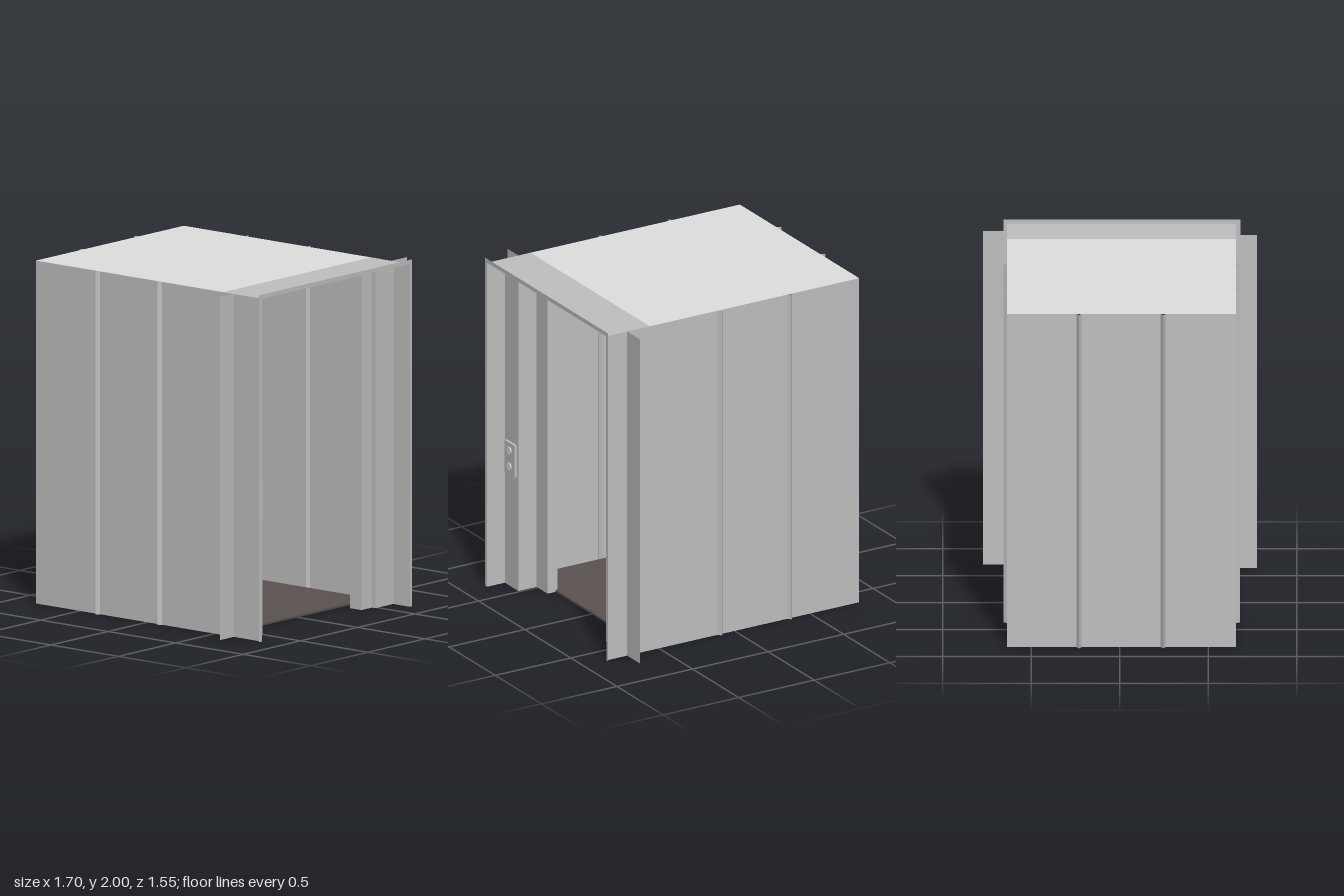
import * as THREE from 'three';

const mat = (name, color) => {
  const m = new THREE.MeshStandardMaterial({ color, side: THREE.DoubleSide });
  m.name = name;
  return m;
};

// Vertical folded sheet following a plan path of [x, z] points
function foldedSheet(path, y0, y1) {
  const pos = [];
  for (let i = 0; i < path.length - 1; i++) {
    const [ax, az] = path[i], [bx, bz] = path[i + 1];
    pos.push(ax, y0, az, bx, y0, bz, bx, y1, bz, ax, y0, az, bx, y1, bz, ax, y1, az);
  }
  const g = new THREE.BufferGeometry();
  g.setAttribute('position', new THREE.Float32BufferAttribute(pos, 3));
  g.computeVertexNormals();
  return g;
}

export function createModel() {
  const group = new THREE.Group();
  const steel = mat('steel grey', 0xc0c0c0);
  const light = mat('light grey', 0xe0e0e0);
  const dark = mat('dark floor', 0x5a5351);

  const add = (name, geometry, material, x = 0, y = 0, z = 0) => {
    const m = new THREE.Mesh(geometry, material);
    m.name = name;
    m.position.set(x, y, z);
    group.add(m);
    return m;
  };

  const H = 1.976, BACK = -0.825, FRONT = 0.848, SILL = 0.56;
  const ZL = 0.657, ZR = -0.636, RIB = 0.022, HALF = 0.015;

  // Side walls with V-shaped pressed ribs pointing outward
  for (const [name, z, s] of [['leftWall', ZL, 1], ['rightWall', ZR, -1]]) {
    const path = [[BACK, z]];
    for (const x of [-0.365, 0.095]) path.push([x - HALF, z], [x, z + s * RIB], [x + HALF, z]);
    path.push([FRONT, z]);
    add(name, foldedSheet(path, 0, H), steel);
  }

  // Rear wall, ribbed the same way
  const rear = [[BACK, ZR]];
  for (const z of [-0.23, 0.246]) rear.push([BACK, z - HALF], [BACK - 0.025, z], [BACK, z + HALF]);
  rear.push([BACK, ZL]);
  add('rearWall', foldedSheet(rear, 0, H), steel);

  // Roof, entrance ceiling and floor
  const slab = (name, x0, x1, material) => {
    const g = new THREE.PlaneGeometry(x1 - x0, ZL - ZR).rotateX(-Math.PI / 2);
    add(name, g, material, (x0 + x1) / 2, H, (ZL + ZR) / 2);
  };
  slab('roof', BACK, SILL, light);
  slab('entranceCeiling', SILL, FRONT, steel);
  add('floor', new THREE.BoxGeometry(SILL - BACK - 0.004, 0.012, ZL - ZR - 0.004), dark,
    (SILL + BACK) / 2, 0.006, (ZL + ZR) / 2);

  // Stepped door jambs
  add('leftJamb', foldedSheet(
    [[0.73, ZL], [0.73, 0.51], [0.61, 0.51], [0.61, 0.39], [0.545, 0.39]], 0, H), steel);
  add('rightJamb', foldedSheet(
    [[0.725, ZR], [0.725, -0.48], [0.70, -0.48], [0.70, -0.388], [0.615, -0.388]], 0, H), steel);

  // Outer mounting flanges
  add('leftFlange', foldedSheet([[0.64, ZL], [0.64, 0.776]], 0, H), steel);
  add('rightFlange', foldedSheet([[0.71, ZR], [0.71, -0.774]], 0, H), steel);

  // Thin lip around the entrance
  add('leftLip', foldedSheet([[FRONT, ZL], [FRONT, 0.681]], 0, 2), steel);
  add('rightLip', foldedSheet([[FRONT, ZR], [FRONT, -0.656]], 0, 2), steel);
  add('topLip', foldedSheet([[FRONT, ZL], [FRONT, ZR]], H, 2), steel);

  // Call panel with two round buttons
  add('buttonPanel', new THREE.BoxGeometry(0.016, 0.195, 0.105), steel, 0.738, 0.785, 0.58);
  for (const y of [0.835, 0.738]) {
    add('button', new THREE.CylinderGeometry(0.024, 0.024, 0.008, 12).rotateZ(Math.PI / 2),
      light, 0.748, y, 0.58);
  }

  // Handrail on the rear wall with end brackets
  add('handrail', new THREE.CylinderGeometry(0.018, 0.018, 1.04, 16).rotateX(Math.PI / 2),
    steel, -0.77, 0.888, 0.01);
  for (const z of [-0.46, 0.48]) {
    add('railBracket', new THREE.CylinderGeometry(0.01, 0.01, 0.055, 10).rotateZ(Math.PI / 2),
      steel, -0.7975, 0.888, z);
  }

  return group;
}
